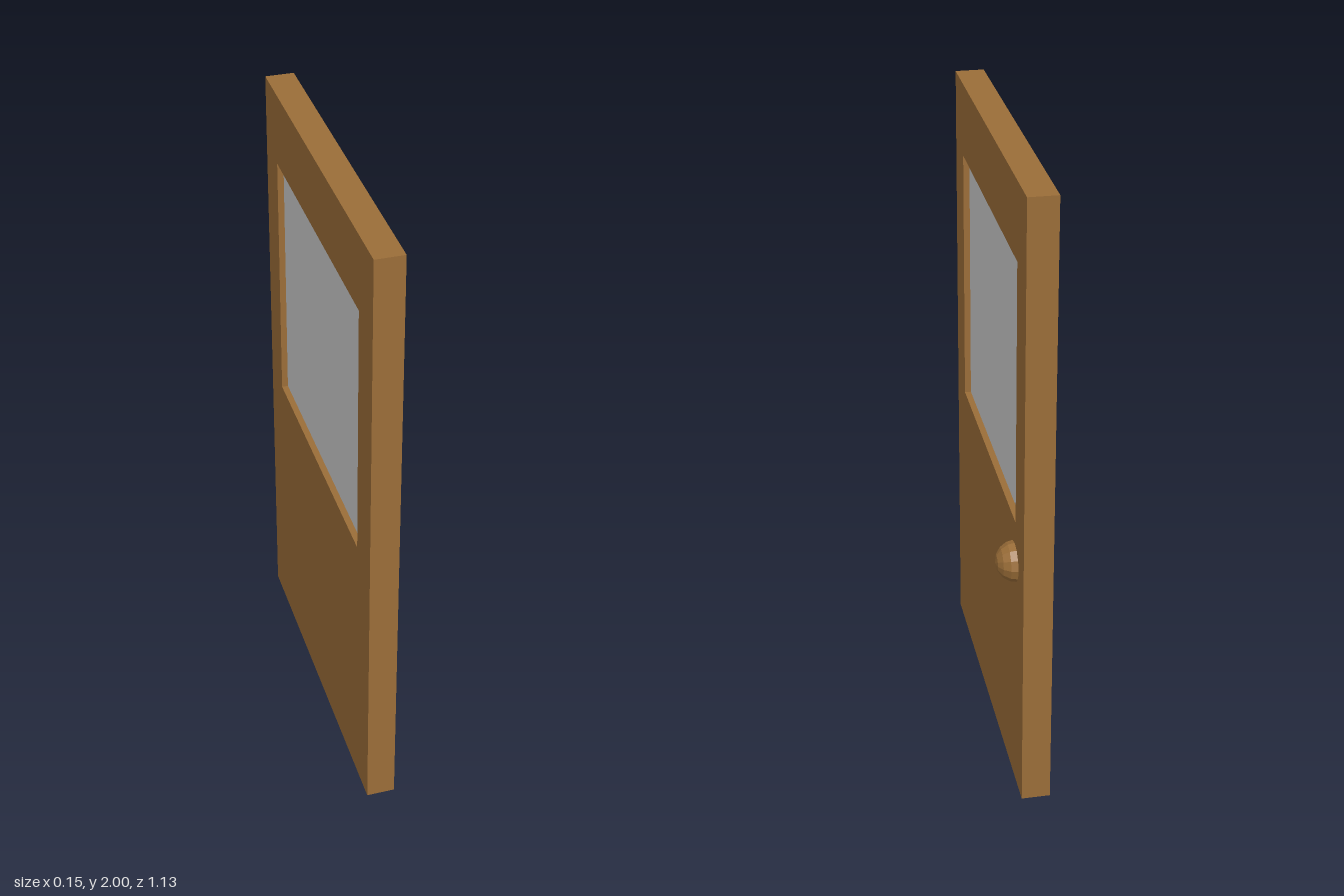
import * as THREE from 'three';

export function createModel() {
  const door = new THREE.Group();
  door.name = 'door';
  const wood = new THREE.MeshStandardMaterial({ color: 0x9a6d38, flatShading: true });
  const grey = new THREE.MeshStandardMaterial({ color: 0xcccccc });

  const add = (name, geometry, material, x = 0, y = 0, z = 0) => {
    const mesh = new THREE.Mesh(geometry, material);
    mesh.name = name;
    mesh.position.set(x, y, z);
    door.add(mesh);
  };

  // Rectangle outline in the z-y plane of the door
  const rectangle = (PathType, z0, y0, z1, y1) =>
    new PathType([[z0, y0], [z1, y0], [z1, y1], [z0, y1]].map(([z, y]) => new THREE.Vector2(z, y)));

  // Door leaf with a window opening
  const outline = rectangle(THREE.Shape, -0.565, 0, 0.565, 2);
  outline.holes.push(rectangle(THREE.Path, -0.44, 0.93, 0.435, 1.765));
  const leaf = new THREE.ExtrudeGeometry(outline, { depth: 0.09, bevelEnabled: false });
  leaf.rotateY(-Math.PI / 2);
  add('doorLeaf', leaf, wood, 0.015);

  // Window pane, recessed on both faces
  add('windowPane', new THREE.BoxGeometry(0.05, 0.835, 0.875), grey, -0.03, 1.3475, -0.0025);

  // Faceted knob, half sunk into the leaf
  const knob = new THREE.SphereGeometry(0.064, 12, 8);
  knob.rotateZ(-Math.PI / 2);
  add('knob', knob, wood, 0.011, 0.79, -0.427);

  return door;
}
